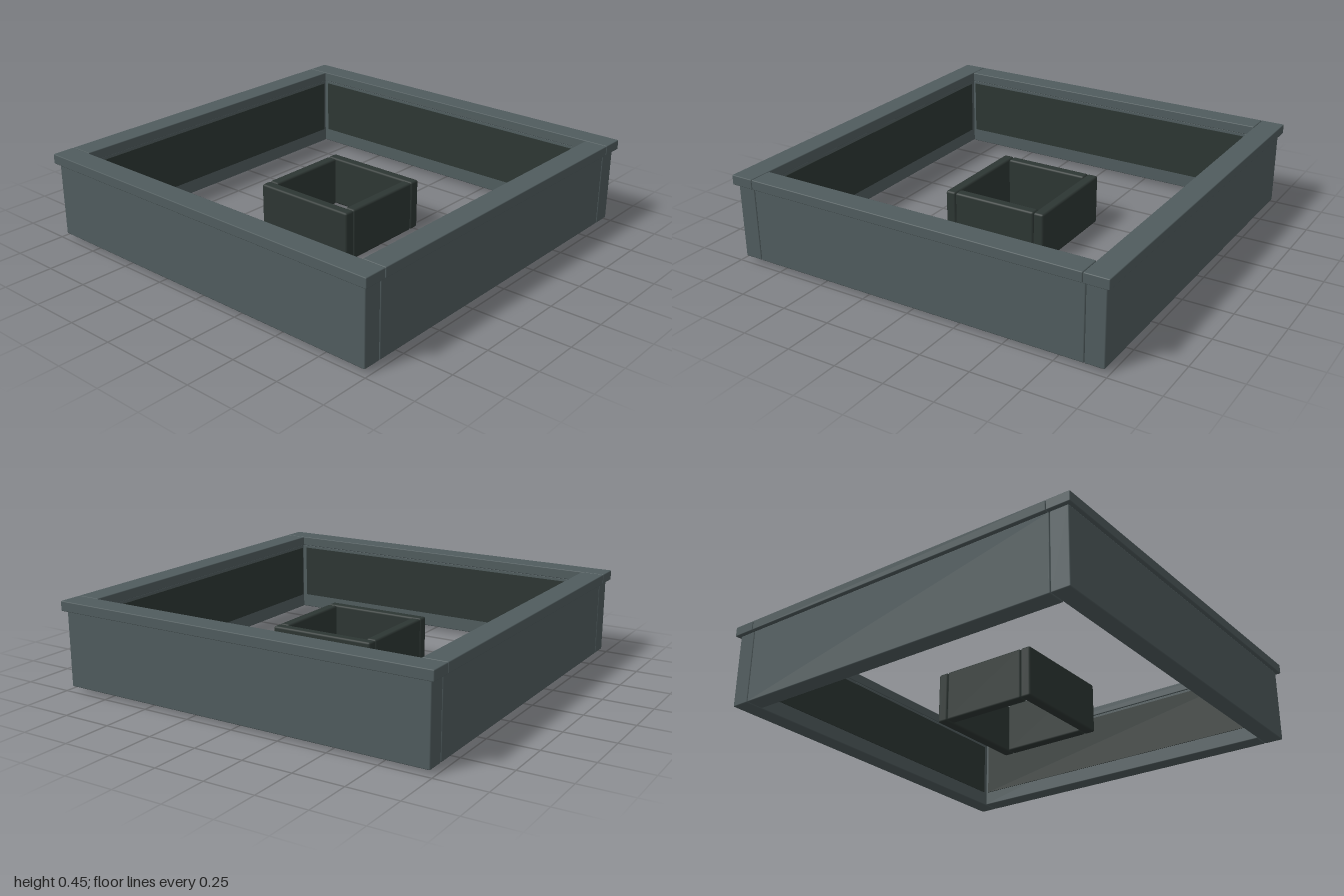
import * as THREE from 'three';
import { RoundedBoxGeometry } from 'three/addons/geometries/RoundedBoxGeometry.js';

const slate = new THREE.MeshStandardMaterial({ color: 0x505c5e });
slate.name = 'slate grey';
const dark = new THREE.MeshStandardMaterial({ color: 0x2d3633 });
dark.name = 'dark green grey';

// Box with small bevelled edges, spanning y0 to y1
function slab(name, material, w, y0, y1, d, x, z, bevel) {
  const geometry = bevel
    ? new RoundedBoxGeometry(w, y1 - y0, d, 1, bevel)
    : new THREE.BoxGeometry(w, y1 - y0, d);
  const mesh = new THREE.Mesh(geometry, material);
  mesh.name = name;
  mesh.position.set(x, (y0 + y1) / 2, z);
  return mesh;
}

// Square frame: full-length side bars, with front and back bars butted between them
function squareFrame(name, material, outer, thick, y0, y1, bevel, gap) {
  const group = new THREE.Group();
  group.name = name;
  const mid = outer - thick / 2;
  const between = 2 * (outer - thick - gap);
  for (const s of [-1, 1]) {
    group.add(slab(name + (s > 0 ? 'Left' : 'Right'), material, thick, y0, y1, outer * 2, s * mid, 0, bevel));
    group.add(slab(name + (s > 0 ? 'Front' : 'Back'), material, between, y0, y1, thick, 0, s * mid, bevel));
  }
  return group;
}

export function createModel() {
  const model = new THREE.Group();
  model.name = 'squareBasin';

  // Outer walls and the overhanging cap rail
  model.add(squareFrame('wall', slate, 0.98, 0.095, 0.02, 0.402, 0.005, 0.002));
  model.add(squareFrame('capRail', slate, 1, 0.12, 0.4, 0.45, 0.004, 0.002));

  // Dark lining panels on the inner wall faces
  const lining = new THREE.Group();
  lining.name = 'lining';
  for (const s of [-1, 1]) {
    lining.add(slab('sideLining', dark, 0.006, 0.095, 0.385, 1.73, s * 0.884, 0));
    lining.add(slab('endLining', dark, 1.73, 0.095, 0.385, 0.006, 0, s * 0.884));
  }
  model.add(lining);

  // Small open frame in the middle
  model.add(squareFrame('centreFrame', dark, 0.28, 0.055, 0, 0.26, 0.01, 0.001));
  return model;
}
